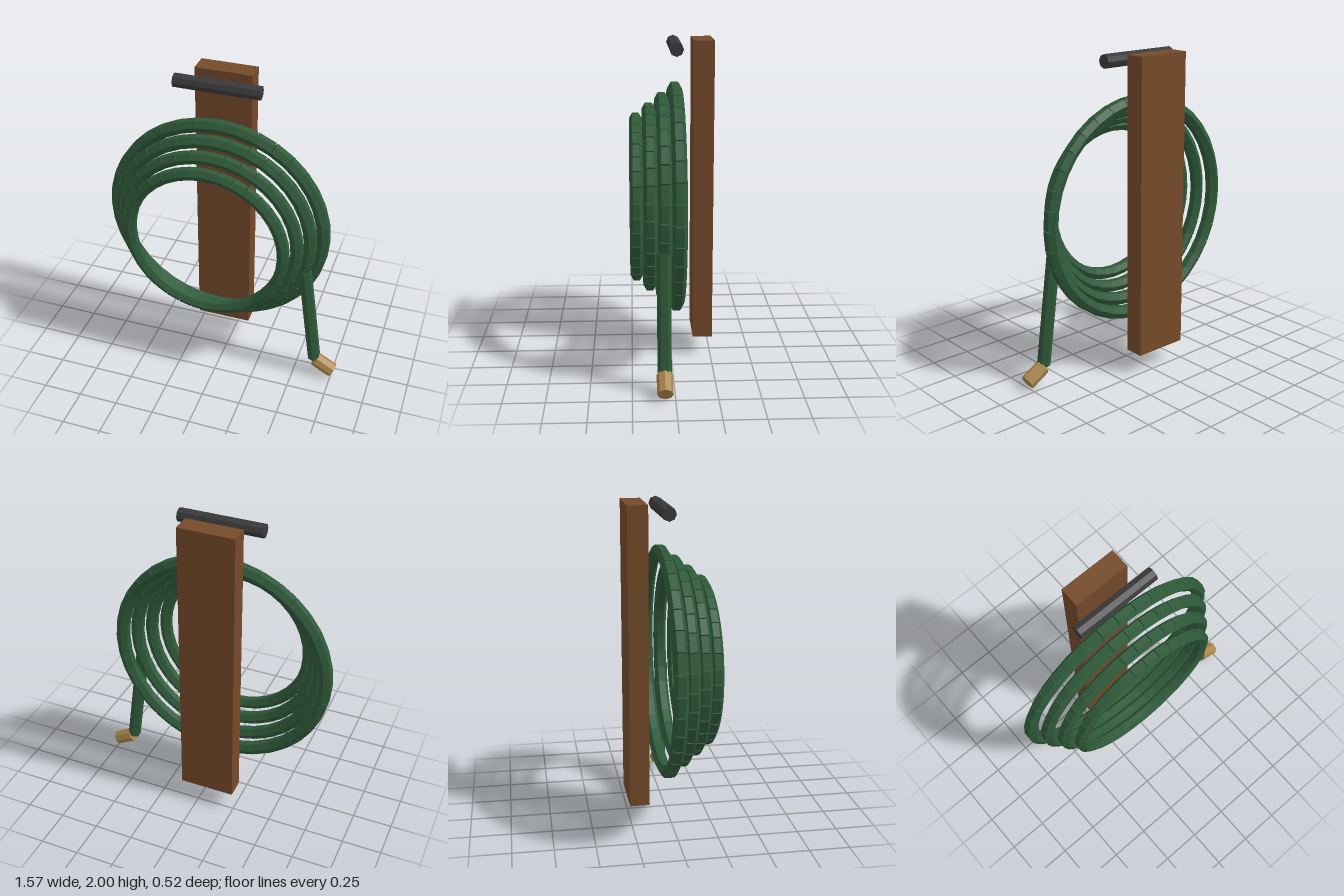
import * as THREE from 'three';

function flat(name, color) {
  const m = new THREE.MeshStandardMaterial({ color, flatShading: true });
  m.name = name;
  return m;
}

export function createModel() {
  const model = new THREE.Group();
  model.name = 'hoseOnPost';

  const wood = flat('wood', 0x754a2a);
  const rubber = flat('green rubber', 0x2f5a3a);
  const iron = flat('dark iron', 0x3a3a3c);
  const brass = flat('brass', 0xa8854a);

  const add = (name, geometry, material, position, turn = 0, parent = model) => {
    const mesh = new THREE.Mesh(geometry, material);
    mesh.name = name;
    mesh.position.set(...position);
    mesh.rotation.z = turn;
    parent.add(mesh);
    return mesh;
  };

  // Straight prism running between two points in a plane of constant z
  const rod = (name, [x1, y1], [x2, y2], z, radius, sides, material) => {
    const dx = x2 - x1, dy = y2 - y1;
    add(name, new THREE.CylinderGeometry(radius, radius, Math.hypot(dx, dy), sides), material,
      [(x1 + x2) / 2, (y1 + y2) / 2, z], Math.atan2(-dx, dy));
  };

  // Post board and the peg in front of its top
  add('post', new THREE.BoxGeometry(0.355, 1.873, 0.123), wood, [-0.065, 1.0635, -0.198]);
  rod('peg', [-0.33, 1.957], [0.2, 1.957], -0.028, 0.043, 8, iron);

  // Four coils, shrinking toward the front, each made of short hexagonal pieces
  const pieces = 36;
  for (let i = 0; i < 4; i++) {
    const coil = new THREE.Group();
    coil.name = `coil${i + 1}`;
    coil.position.set(-0.065, 1.01, -0.03 + i * 0.082);
    const radius = 0.68 - i * 0.0625;
    const thickness = 0.044 - i * 0.0014;
    const piece = new THREE.CylinderGeometry(thickness, thickness, 2 * Math.PI * radius / pieces, 6);
    for (let k = 0; k < pieces; k++) {
      const a = (k + 0.5) / pieces * Math.PI * 2;
      add('hosePiece', piece, rubber, [radius * Math.cos(a), radius * Math.sin(a), 0], a, coil);
    }
    model.add(coil);
  }

  // Loose hose end with its nozzle
  rod('hoseTail', [0.534, 0.82], [0.63, 0.12], 0.06, 0.042, 6, rubber);
  rod('nozzle', [0.638, 0.109], [0.756, 0.041], 0.06, 0.048, 8, brass);

  return model;
}
